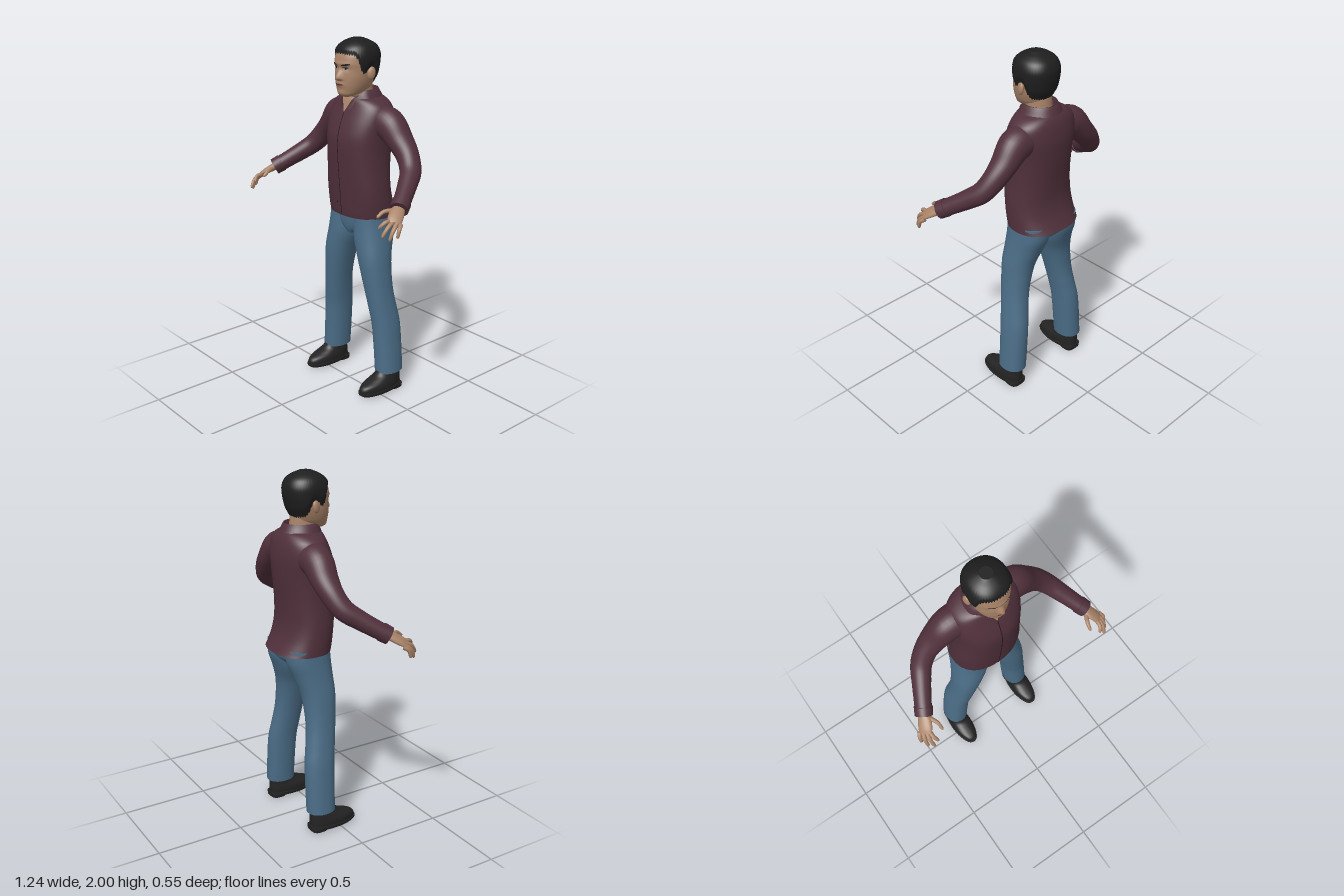
import * as THREE from 'three';

const mat = (name, color) => {
  const m = new THREE.MeshStandardMaterial({ color, side: THREE.DoubleSide });
  m.name = name;
  return m;
};
const V = (x, y, z) => new THREE.Vector3(x, y, z);
const bump = (d, s) => Math.exp(-((d / s) ** 2));
const spow = (v, e) => Math.sign(v) * Math.abs(v) ** e;

// Catmull-Rom sample of a table of rows at row position t
function sample(rows, t) {
  const n = rows.length - 1;
  const i = Math.min(Math.floor(t), n - 1), f = t - i;
  const [a, b, c, d] = [i - 1, i, i + 1, i + 2].map(k => rows[Math.max(0, Math.min(n, k))]);
  return b.map((_, k) => 0.5 * (2 * b[k] + (c[k] - a[k]) * f
    + (2 * a[k] - 5 * b[k] + 4 * c[k] - d[k]) * f * f
    + (3 * b[k] - a[k] - 3 * c[k] + d[k]) * f ** 3));
}
const resample = (rows, n) =>
  Array.from({ length: n + 1 }, (_, i) => sample(rows, (i / n) * (rows.length - 1)));

// Skin over rings of points; closed rings wrap, caps are flat fans
function loft(rings, { closed = true, bottom = true, top = true } = {}) {
  const m = rings[0].length, pos = [], idx = [];
  rings.forEach(r => r.forEach(p => pos.push(p.x, p.y, p.z)));
  for (let i = 0; i < rings.length - 1; i++)
    for (let j = 0; j < (closed ? m : m - 1); j++) {
      const k = (j + 1) % m, a = i * m + j, b = i * m + k, c = b + m, d = a + m;
      idx.push(a, b, c, a, c, d);
    }
  const cap = (ring, flip) => {
    const s = pos.length / 3, mid = V(0, 0, 0);
    ring.forEach(p => { mid.addScaledVector(p, 1 / m); pos.push(p.x, p.y, p.z); });
    pos.push(mid.x, mid.y, mid.z);
    for (let j = 0; j < m; j++) {
      const k = (j + 1) % m;
      idx.push(s + m, s + (flip ? k : j), s + (flip ? j : k));
    }
  };
  if (closed && bottom) cap(rings[0], true);
  if (closed && top) cap(rings[rings.length - 1], false);
  const g = new THREE.BufferGeometry();
  g.setAttribute('position', new THREE.Float32BufferAttribute(pos, 3));
  g.setIndex(idx);
  g.computeVertexNormals();
  return g;
}

// Point on a horizontal superellipse row [y, centreX, halfWidth, zFront, zBack]
function rowPoint([y, cx, w, zf, zb], a, p, off = 0) {
  return V(cx + (w + off) * spow(Math.sin(a), 2 / p), y,
    (zf + zb) / 2 + ((zf - zb) / 2 + off) * spow(Math.cos(a), 2 / p));
}
const angles = n => Array.from({ length: n }, (_, j) => (j / n) * Math.PI * 2);
const stack = (rows, p = 2.2, n = 30, seg = 40) =>
  loft(resample(rows, n).map(r => angles(seg).map(a => rowPoint(r, a, p))));

// Height of a stacked body's front surface at x, y
function frontZ(rows, p) {
  const d = resample(rows, 150);
  return (x, y) => {
    let i = d.findIndex(r => r[0] > y);
    if (i < 1) i = i < 0 ? d.length - 1 : 1;
    const f = (y - d[i - 1][0]) / (d[i][0] - d[i - 1][0]);
    const [, cx, w, zf, zb] = d[i].map((v, k) => THREE.MathUtils.lerp(d[i - 1][k], v, f));
    const q = Math.min(1, Math.abs((x - cx) / w));
    return (zf + zb) / 2 + ((zf - zb) / 2) * (1 - q ** p) ** (1 / p);
  };
}

// Tube through rows [x, y, z, radius along side, other radius]
function tube(rows, side, n = 16, seg = 20) {
  const s = resample(rows, n);
  return loft(s.map((r, i) => {
    const a = s[Math.max(0, i - 1)], b = s[Math.min(n, i + 1)];
    const t = V(b[0] - a[0], b[1] - a[1], b[2] - a[2]).normalize();
    const u = side.clone().addScaledVector(t, -t.dot(side)).normalize();
    const v = u.clone().cross(t);
    return angles(seg).map(q => V(r[0], r[1], r[2])
      .addScaledVector(u, r[3] * Math.sin(q)).addScaledVector(v, r[4] * Math.cos(q)));
  }));
}

// Thin patch laid on a front surface; f maps u, v in 0..1 to x, y
function patch(z, f, off = 0.003, nu = 14, nv = 6) {
  return loft(Array.from({ length: nv + 1 }, (_, j) => Array.from({ length: nu + 1 }, (_, i) => {
    const [x, y] = f(i / nu, j / nv);
    return V(x, y, z(x, y) + off);
  })), { closed: false });
}
const lens = (cx, cy, w, h, tilt = 0) => (u, v) => {
  const a = 2 * u - 1;
  return [cx + w * a, cy + tilt * a + h * (2 * v - 1) * Math.sqrt(1 - a * a)];
};

export function createModel() {
  const M = {
    shirt: mat('plum shirt', 0x50303b), seam: mat('dark seam', 0x26161c),
    jeans: mat('blue denim', 0x4b6d87), skin: mat('skin', 0xa98368),
    hair: mat('black hair', 0x1e1e1f), shoe: mat('black leather', 0x232324),
    lips: mat('lips', 0x87594c), eye: mat('eye', 0x8d98a4),
  };
  const model = new THREE.Group();
  const add = (name, g, m, parent = model) => {
    const mesh = new THREE.Mesh(g, m);
    mesh.name = name;
    parent.add(mesh);
    return mesh;
  };

  // Shirt body, placket and open neck
  const torso = [[1.03, 0, .2, .05, -.272], [1.06, 0, .2, .055, -.255], [1.12, 0, .2, .06, -.228],
    [1.2, 0, .197, .067, -.212], [1.3, 0, .189, .075, -.215], [1.4, 0, .186, .081, -.225],
    [1.48, 0, .19, .079, -.232], [1.55, 0, .197, .06, -.235], [1.61, 0, .196, .036, -.228],
    [1.65, 0, .18, .02, -.218], [1.677, 0, .145, .012, -.205], [1.692, 0, .105, .004, -.192],
    [1.702, 0, .075, -.005, -.17]];
  const torsoZ = frontZ(torso, 2.3);
  add('shirtBody', stack(torso, 2.3, 48, 56), M.shirt);
  add('placketSeam', patch(torsoZ, (u, v) => [(u - .5) * .005, 1.032 + v * .58], .002, 1, 40), M.seam);
  add('hemButton', patch(torsoZ, lens(-.028, 1.105, .006, .006), .003), M.seam);
  add('openNeck', patch(torsoZ, (u, v) => [(u - .5) * .09 * v, 1.612 + v * .083], .004), M.skin);
  add('neck', stack([[1.6, 0, .07, .005, -.15], [1.68, 0, .07, .002, -.15],
    [1.73, 0, .07, .005, -.148], [1.8, 0, .07, 0, -.14]], 2), M.skin);

  // Folded collar, rising from the front points to the nape
  const collarRing = k => Array.from({ length: 49 }, (_, j) => {
    const q = (j / 48) * 2 - 1, s = Math.sign(q) || 1;
    const a = .2 + (1 - Math.abs(q)) * (Math.PI - .2);
    const rise = THREE.MathUtils.smoothstep(a, .1, 1.35), front = 1 - rise;
    const y = 1.64 + .09 * rise;
    const [dr, dy, da] = [[-.012, -.045, 0], [-.006, 0, 0], [.002, .002, 0],
      [.014, -.02, .2], [.026, -.042, .42]][k];
    const b = Math.min(Math.PI, a + da * front);
    return V(s * (.088 + dr) * Math.sin(b), y + dy - (k > 2 ? .008 * front : 0),
      -.082 + (Math.cos(b) > 0 ? .112 + dr * .6 : .098 + dr) * Math.cos(b));
  });
  add('collar', loft([0, 1, 2, 3, 4].map(collarRing), { closed: false }), M.shirt);

  // Head with sculpted nose, brow, eye sockets, lips and chin
  const head = [[1.697, 0, .03, .045, -.01], [1.71, 0, .056, .058, -.06], [1.735, 0, .077, .063, -.12],
    [1.765, 0, .09, .066, -.14], [1.8, 0, .099, .067, -.152], [1.84, 0, .104, .065, -.162],
    [1.88, 0, .106, .067, -.17], [1.92, 0, .104, .058, -.17], [1.955, 0, .088, .034, -.152],
    [1.976, 0, .058, .002, -.118], [1.988, 0, .022, -.035, -.08]];
  const relief = (x, y) => {
    const up = THREE.MathUtils.smoothstep(y, 1.782, 1.797), down = 1 - THREE.MathUtils.smoothstep(y, 1.797, 1.87);
    return .026 * bump(x, .009 + .009 * down) * up * down + .005 * bump(y - 1.873, .012) * bump(x, .06)
      - .008 * bump(Math.abs(x) - .037, .02) * bump(y - 1.85, .014)
      + .006 * bump(x, .03) * bump(y - 1.763, .013) + .005 * bump(x, .025) * bump(y - 1.718, .014);
  };
  const headPoint = (a, t, off) => {
    const p = rowPoint(sample(head, t), a, 2.2, off);
    if (Math.cos(a) > 0) p.z += relief(p.x, p.y) * Math.min(1, Math.cos(a) * 3);
    p.y += off * (t / 10) ** 4;
    return p;
  };
  add('head', loft(Array.from({ length: 91 }, (_, i) => angles(96).map(a => headPoint(a, i / 9, 0)))), M.skin);

  // Hair cap: hairline height (as head row) against degrees from the front
  const line = [[0, 7.15], [45, 7], [58, 6.4], [68, 5], [78, 4.5], [88, 5.2], [100, 5.3],
    [112, 4], [125, 3.2], [181, 2.9]];
  const hairline = (a, j) => {
    const d = THREE.MathUtils.radToDeg(a > Math.PI ? Math.PI * 2 - a : a);
    const i = line.findIndex(l => l[0] > d);
    const [a0, t0] = line[i - 1], [a1, t1] = line[i];
    return t0 + (t1 - t0) * (d - a0) / (a1 - a0) + (j % 2 ? .12 : -.12);
  };
  add('hair', loft(Array.from({ length: 37 }, (_, i) => angles(96).map((a, j) => {
    const t = THREE.MathUtils.lerp(hairline(a, j), 10, i / 36);
    return headPoint(a, t, .003 + .009 * THREE.MathUtils.smoothstep(i, 0, 8));
  })), { bottom: false }), M.hair);

  // Face details
  const skull = frontZ(head, 2.2);
  const faceZ = (x, y) => skull(x, y) + relief(x, y);
  for (const s of [1, -1]) {
    add('eyeWhite', patch(faceZ, lens(s * .038, 1.849, .017, .006), .002), M.eye);
    add('iris', patch(faceZ, lens(s * .037, 1.849, .006, .006), .0035), M.hair);
    add('upperLid', patch(faceZ, lens(s * .038, 1.856, .02, .0025), .004), M.hair);
    add('eyebrow', patch(faceZ, lens(s * .042, 1.871, .026, .005, s * .005), .003), M.hair);
    const ear = add('ear', new THREE.SphereGeometry(1, 20, 14), M.skin);
    ear.scale.set(.013, .034, .023);
    ear.position.set(s * .112, 1.825, -.06);
    ear.rotation.set(-.15, s * -.3, 0);
  }
  add('mouth', patch(faceZ, lens(0, 1.764, .03, .007), .002), M.lips);
  add('mouthLine', patch(faceZ, lens(0, 1.765, .029, .0015), .003), M.seam);

  // Pelvis
  add('pelvis', stack([[.915, 0, .03, 0, -.13], [.95, 0, .1, .014, -.185], [1, 0, .188, .02, -.233],
    [1.07, 0, .188, .022, -.235]]), M.jeans);

  // Limbs, built on the left and mirrored to the right
  for (const s of [1, -1]) {
    const limbs = new THREE.Group();
    limbs.name = s > 0 ? 'leftLimbs' : 'rightLimbs';
    limbs.scale.x = s;
    model.add(limbs);

    add('sleeve', tube([[.12, 1.57, -.105, .085, .09], [.205, 1.553, -.11, .09, .085],
      [.285, 1.478, -.115, .069, .074], [.35, 1.41, -.107, .062, .062], [.405, 1.345, -.075, .055, .058],
      [.45, 1.295, -.01, .05, .052], [.49, 1.252, .055, .046, .048], [.527, 1.212, .118, .044, .046]],
      V(1, 1, 0), 36, 32), M.shirt, limbs);
    add('cuff', tube([[.508, 1.233, .086, .049, .051], [.53, 1.21, .122, .047, .049]],
      V(1, 1, 0), 3, 32), M.shirt, limbs);

    // Hand
    const across = V(.05, -.02, -.04);
    add('palm', tube([[.52, 1.222, .105, .027, .022], [.54, 1.2, .145, .038, .02],
      [.56, 1.179, .178, .039, .016], [.574, 1.164, .197, .034, .01]], across), M.skin, limbs);
    const fingers = [[.55, 1.173, .2, .535, 1.145, .265], [.564, 1.167, .198, .564, 1.105, .27],
      [.58, 1.16, .186, .59, 1.088, .243], [.593, 1.156, .17, .61, 1.1, .207],
      [.518, 1.208, .14, .485, 1.182, .235]];
    for (const [x, y, z, X, Y, Z] of fingers)
      add('finger', tube([[x, y, z, .0125, .0125], [(x + X) / 2 + (X < .5 ? -.008 : .006), (y + Y) / 2 + .01, (z + Z) / 2 + .005, .011, .011],
        [x + (X - x) * .93, y + (Y - y) * .93, z + (Z - z) * .93, .0085, .0085], [X, Y, Z, .003, .003]],
        across, 12, 10), M.skin, limbs);

    // Trouser leg
    add('trouserLeg', stack([[.115, .231, .069, -.02, -.187], [.25, .221, .069, -.018, -.188],
      [.4, .208, .068, -.012, -.185], [.5, .193, .068, 0, -.17], [.6, .176, .071, .012, -.156],
      [.7, .158, .078, .023, -.155], [.8, .138, .088, .03, -.166], [.9, .111, .1, .028, -.2],
      [.98, .102, .1, .023, -.23], [1.06, .098, .098, .018, -.235]], 2.2, 40, 36), M.jeans, limbs);

    // Shoe: upper, sole and heel, narrowed toward the toe
    const taper = g => {
      const p = g.attributes.position;
      for (let i = 0; i < p.count; i++) {
        const k = THREE.MathUtils.smoothstep(p.getZ(i), -.02, .12);
        p.setX(i, .235 + (p.getX(i) - .235) * (1 - .12 * k));
      }
      g.computeVertexNormals();
      return g;
    };
    add('shoeUpper', taper(stack([[.022, .235, .06, .112, -.172], [.045, .235, .062, .113, -.174],
      [.065, .235, .06, .095, -.174], [.085, .235, .054, .04, -.173], [.105, .234, .049, -.005, -.172],
      [.14, .232, .045, -.03, -.168]], 2.3)), M.shoe, limbs);
    add('shoeSole', taper(stack([[.008, .235, .06, .108, -.174], [.018, .235, .065, .119, -.178],
      [.03, .235, .065, .12, -.178]], 2.4, 6)), M.shoe, limbs);
    add('shoeHeel', stack([[0, .235, .054, -.08, -.176], [.02, .235, .056, -.08, -.178]], 3, 2), M.shoe, limbs);
  }
  return model;
}
